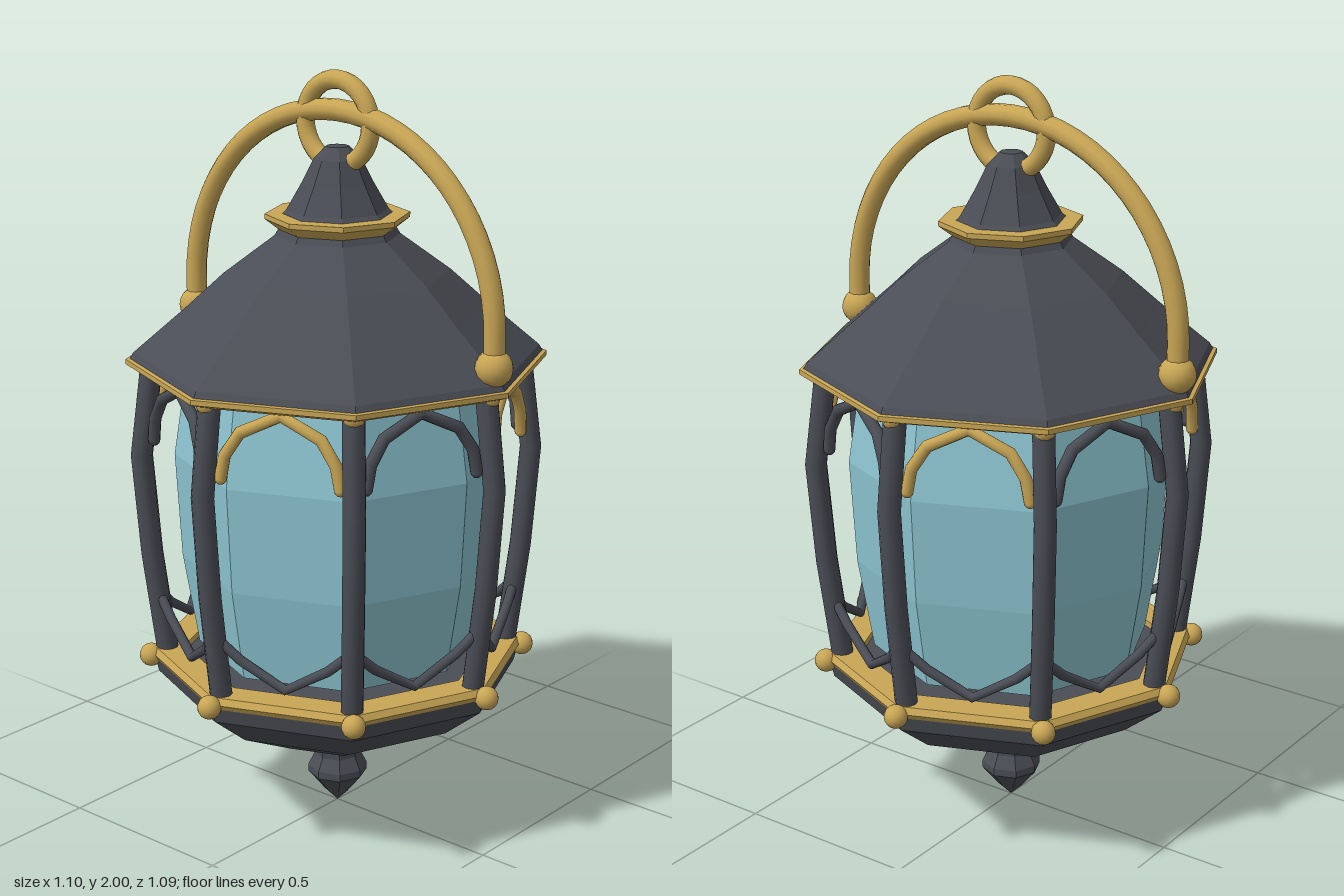
import * as THREE from 'three';
import { mergeGeometries } from 'three/addons/utils/BufferGeometryUtils.js';

const SIDES = 8;
const STEP = (Math.PI * 2) / SIDES;

export function createModel() {
  const lantern = new THREE.Group();
  lantern.name = 'lantern';

  const material = (name, color) => {
    const m = new THREE.MeshStandardMaterial({ color });
    m.name = name;
    return m;
  };
  const iron = material('darkIron', 0x4a4d55);
  const brass = material('brass', 0xc9a655);
  const glass = material('paleBlueGlass', 0x8cc4d0);

  const add = (name, geometry, mat) => {
    const mesh = new THREE.Mesh(geometry, mat);
    mesh.name = name;
    lantern.add(mesh);
    return mesh;
  };

  // Faceted eight-sided solid from [radius, height] pairs, listed bottom to top
  const octagon = (name, profile, mat) => {
    const points = profile.map(([r, y]) => new THREE.Vector2(r, y));
    const geometry = new THREE.LatheGeometry(points, SIDES).toNonIndexed();
    geometry.computeVertexNormals();
    return add(name, geometry, mat);
  };

  const ball = (name, radius, position, mat) =>
    add(name, new THREE.SphereGeometry(radius, 16, 10), mat).position.copy(position);

  // Round bar bent exactly at the given points, with rounded ends
  const bar = (name, points, radius, mat) => {
    const curve = new THREE.CatmullRomCurve3(points);
    curve.getPointAt = curve.getPoint;
    curve.getTangentAt = curve.getTangent;
    const tube = new THREE.TubeGeometry(curve, points.length - 1, radius, 10);
    const ends = [points[0], points[points.length - 1]].map((p) =>
      new THREE.SphereGeometry(radius, 10, 6).translate(p.x, p.y, p.z));
    return add(name, mergeGeometries([tube, ...ends]), mat);
  };

  // Point on the octagon's corner k
  const corner = (k, r, y) => new THREE.Vector3(r * Math.sin(k * STEP), y, r * Math.cos(k * STEP));
  // Point along the side between corners k and k + 1
  const onSide = (k, t, r, y) => corner(k, r, y).lerp(corner(k + 1, r, y), t);

  // Base: finial, bowl and brass rim
  octagon('finial', [[0, 0], [0.035, 0.035], [0.08, 0.09], [0.08, 0.11], [0.062, 0.145], [0.062, 0.17]], iron);
  octagon('baseBowl', [
    [0, 0.155], [0.06, 0.16], [0.2, 0.225], [0.37, 0.31], [0.48, 0.4], [0.49, 0.44], [0.47, 0.455], [0, 0.455],
  ], iron);
  octagon('baseRim', [
    [0.41, 0.44], [0.49, 0.44], [0.5, 0.455], [0.49, 0.472], [0.41, 0.472], [0.41, 0.44],
  ], brass);

  // Glass body
  octagon('glassBody', [[0, 0.485], [0.37, 0.485], [0.41, 0.73], [0.425, 1.01], [0.39, 1.24], [0, 1.24]], glass);

  // Roof: brass eave, iron slope, brass collar and cap
  octagon('eave', [[0, 1.245], [0.5, 1.238], [0.545, 1.255], [0.545, 1.268], [0.5, 1.275]], brass);
  octagon('roof', [
    [0.5, 1.265], [0.535, 1.268], [0.525, 1.285], [0.39, 1.4], [0.29, 1.49], [0.16, 1.585], [0.145, 1.61], [0, 1.61],
  ], iron);
  octagon('collar', [[0.14, 1.595], [0.15, 1.6], [0.185, 1.627], [0.185, 1.64], [0, 1.64]], brass);
  octagon('cap', [[0.145, 1.635], [0.13, 1.65], [0.09, 1.72], [0.06, 1.78], [0.03, 1.81], [0, 1.812]], iron);

  for (let k = 0; k < SIDES; k++) {
    // Bowed corner post with brass studs at both ends
    bar('cornerPost', [
      corner(k, 0.455, 0.46), corner(k, 0.49, 0.74), corner(k, 0.51, 1.01), corner(k, 0.48, 1.245),
    ], 0.029, iron);
    ball('baseStud', 0.031, corner(k, 0.5, 0.448), brass);
    ball('eaveStud', 0.026, corner(k, 0.49, 1.245), brass);

    // Arch at the top of each bay, alternating brass and iron
    bar('bayArch', [
      onSide(k, 0.09, 0.49, 1.06), onSide(k, 0.12, 0.49, 1.12), onSide(k, 0.22, 0.485, 1.18),
      onSide(k, 0.5, 0.48, 1.23),
      onSide(k, 0.78, 0.485, 1.18), onSide(k, 0.88, 0.49, 1.12), onSide(k, 0.91, 0.49, 1.06),
    ], 0.016, k % 2 ? iron : brass);

    // Shallow V brace at the bottom of each bay
    bar('bayBrace', [
      onSide(k, 0.06, 0.475, 0.615), onSide(k, 0.18, 0.47, 0.575), onSide(k, 0.5, 0.46, 0.505),
      onSide(k, 0.82, 0.47, 0.575), onSide(k, 0.94, 0.475, 0.615),
    ], 0.013, iron);
  }

  // Carrying handle: half circle on short legs, with ball pivots
  const handlePath = [new THREE.Vector3(0.5, 1.32, 0)];
  for (let i = 0; i <= 32; i++) {
    const a = (i / 32) * Math.PI;
    handlePath.push(new THREE.Vector3(0.5 * Math.cos(a), 1.4 + 0.5 * Math.sin(a), 0));
  }
  handlePath.push(new THREE.Vector3(-0.5, 1.32, 0));
  bar('handle', handlePath, 0.028, brass);
  for (const side of [-1, 1]) {
    ball('handlePivot', 0.048, new THREE.Vector3(side * 0.5, 1.322, 0), brass);
  }

  // Hanging ring
  add('hangingRing', new THREE.TorusGeometry(0.107, 0.024, 12, 32), brass).position.y = 1.869;

  return lantern;
}
